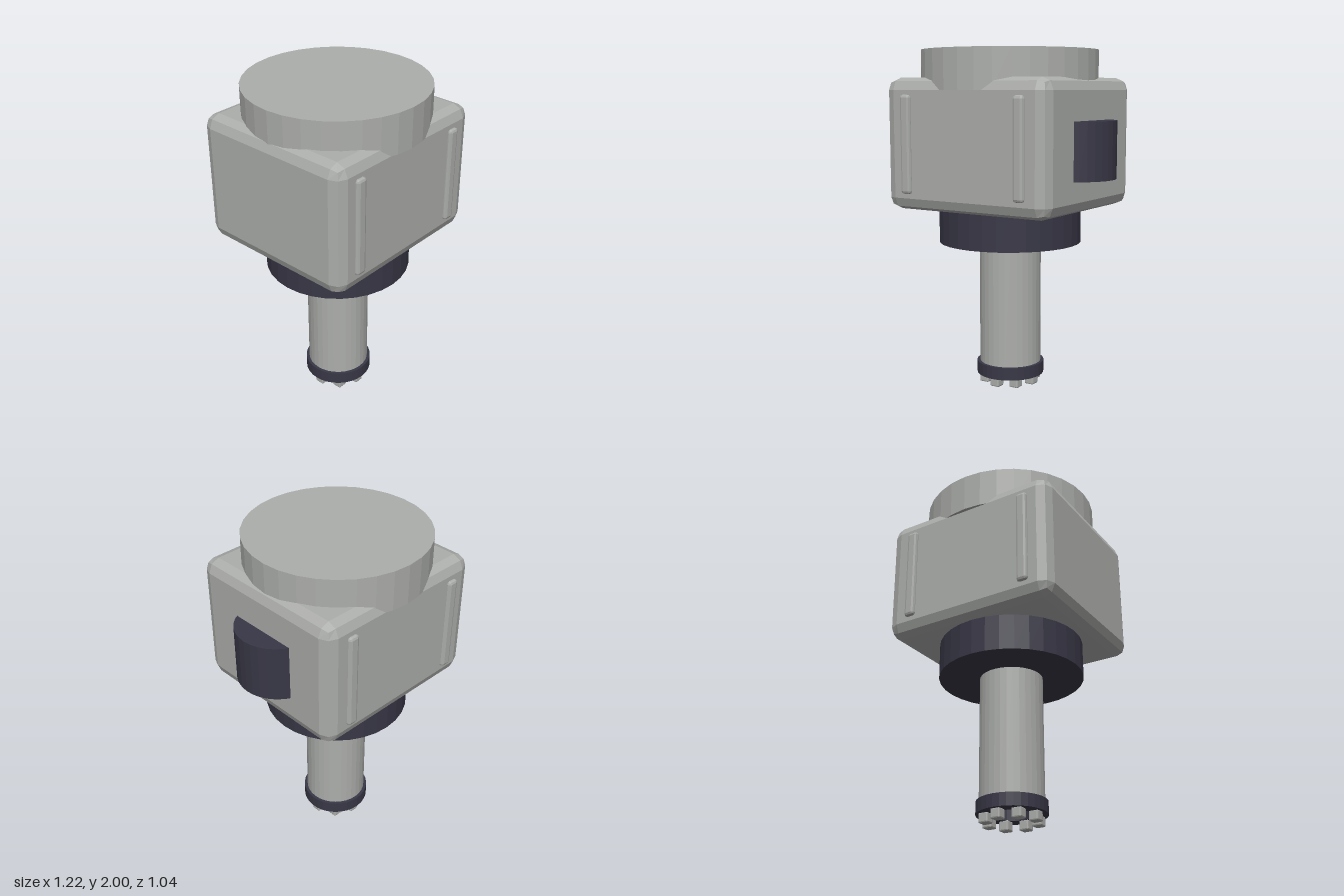
import * as THREE from 'three';
import { RoundedBoxGeometry } from 'three/addons/geometries/RoundedBoxGeometry.js';

export function createModel() {
  const model = new THREE.Group();
  model.name = 'spindleUnit';
  const grey = new THREE.MeshStandardMaterial({ color: 0xacaeab });
  grey.name = 'light grey metal';
  const dark = new THREE.MeshStandardMaterial({ color: 0x383746 });
  dark.name = 'dark blue grey';
  const cx = -0.07; // main vertical axis

  // Adds a mesh with faceted normals
  function add(name, geometry, material, x, y, z) {
    const flat = geometry.index ? geometry.toNonIndexed() : geometry;
    flat.computeVertexNormals();
    const mesh = new THREE.Mesh(flat, material);
    mesh.name = name;
    mesh.position.set(x, y, z);
    model.add(mesh);
  }
  const drum = (name, material, r, y0, y1, x = cx) =>
    add(name, new THREE.CylinderGeometry(r, r, y1 - y0, 32), material, x, (y0 + y1) / 2, 0);
  const block = (name, w, h, d, bevel, x, y, z) =>
    add(name, new RoundedBoxGeometry(w, h, d, 1, bevel), grey, x, y, z);

  // Housing with its round cap, collar and shaft
  block('housing', 1.09, 0.76, 1, 0.07, -0.065, 1.46, 0);
  drum('topCap', grey, 0.522, 1.77, 2);
  drum('collar', dark, 0.425, 0.87, 1.09);
  drum('shaft', grey, 0.185, 0.125, 0.9);

  // Side drum, partly sunk into the housing
  drum('sideDrum', dark, 0.235, 1.27, 1.6, 0.375);

  // Hollow flange at the foot of the shaft
  const ring = [[0.12, 0.055], [0.203, 0.055], [0.203, 0.13], [0.12, 0.13], [0.12, 0.055]];
  add('flange', new THREE.LatheGeometry(ring.map(p => new THREE.Vector2(...p)), 32), dark, cx, 0, 0);

  // Ring of bolt heads under the flange
  for (let i = 0; i < 8; i++) {
    const a = i * Math.PI / 4;
    block('bolt', 0.06, 0.06, 0.06, 0.008, cx + 0.15 * Math.cos(a), 0.03, 0.15 * Math.sin(a));
  }

  // Raised ribs on the front and back
  for (const side of [1, -1]) {
    for (const x of [-0.45, 0.312]) block('rib', 0.068, 0.565, 0.07, 0.016, x, 1.46, side * 0.486);
  }
  return model;
}
